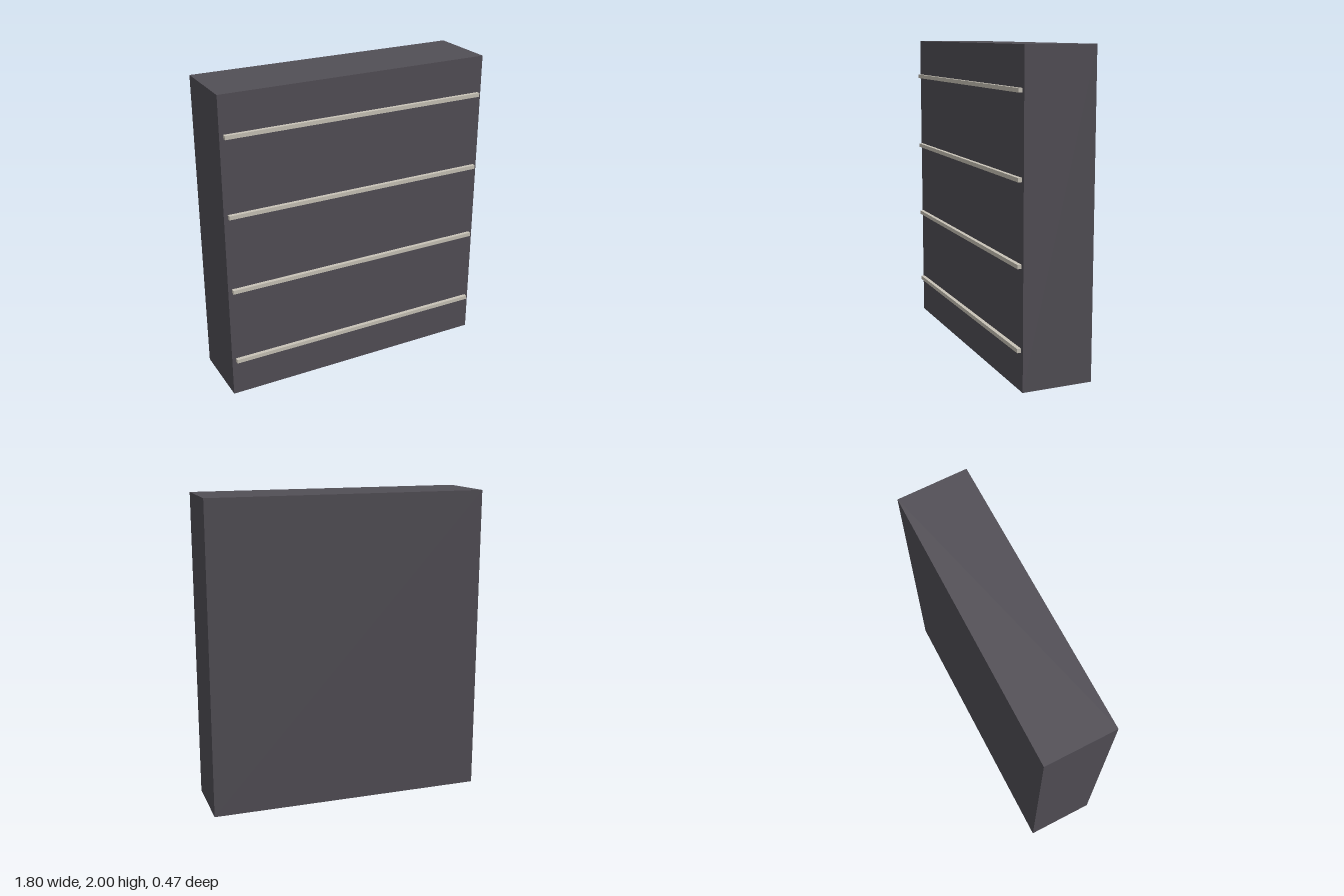
import * as THREE from 'three';

export function createModel() {
  const model = new THREE.Group();
  model.name = 'drawerCabinet';
  const bodyMaterial = new THREE.MeshStandardMaterial({ color: 0x524f56 });
  const railMaterial = new THREE.MeshStandardMaterial({ color: 0xc9c4b8 });

  const addBox = (name, material, size, position) => {
    const mesh = new THREE.Mesh(new THREE.BoxGeometry(...size), material);
    mesh.name = name;
    mesh.position.set(...position);
    model.add(mesh);
  };

  // Plain cabinet block
  addBox('cabinetBody', bodyMaterial, [1.8, 2, 0.45], [0, 1, -0.0125]);

  // Four evenly spaced rails across the front
  for (let i = 0; i < 4; i++) {
    addBox(`frontRail${i + 1}`, railMaterial, [1.75, 0.025, 0.025], [0, 0.25 + i * 0.5, 0.225]);
  }
  return model;
}
